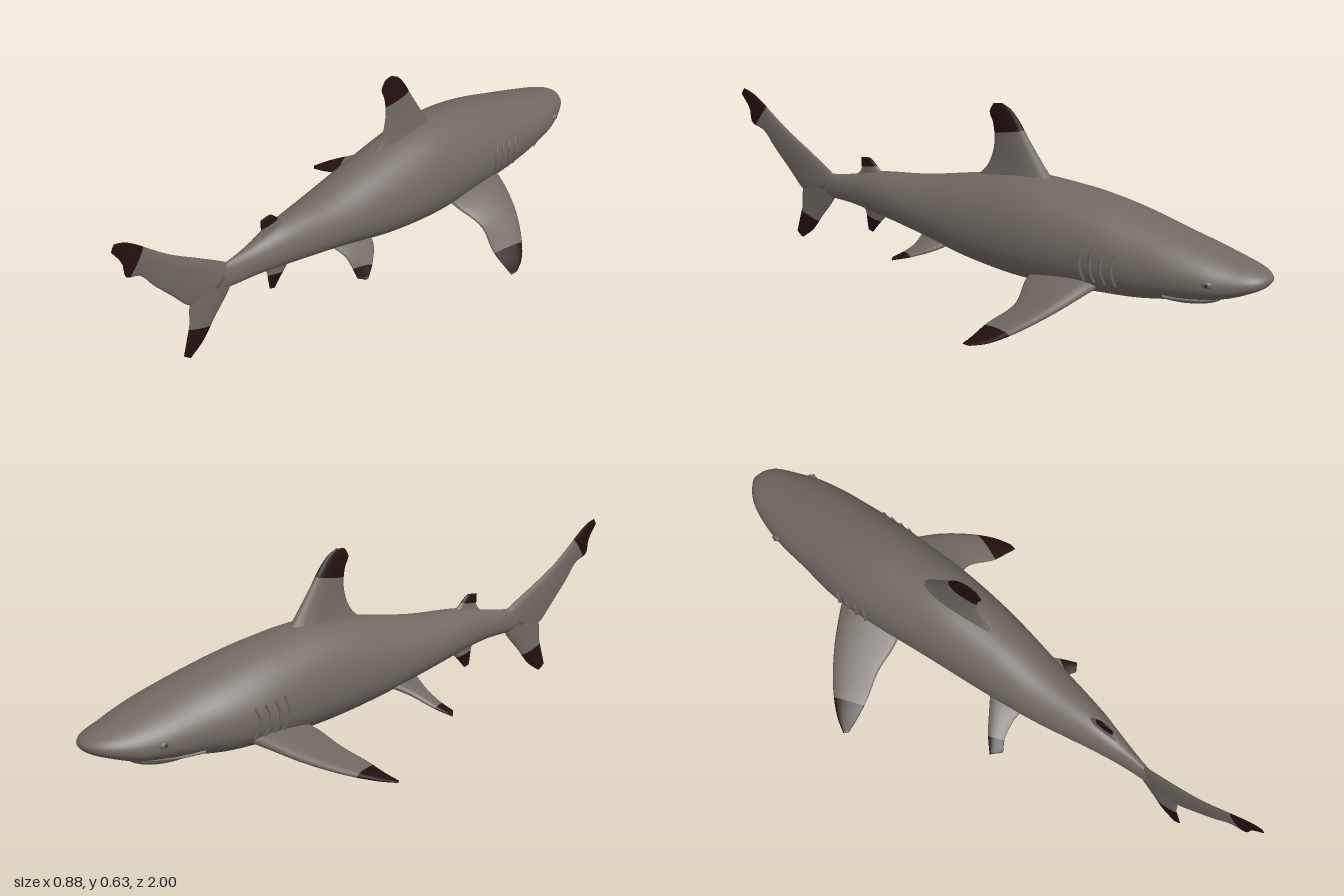
import * as THREE from 'three';

const mat = (name, color) => {
  const m = new THREE.MeshStandardMaterial({ color });
  m.name = name;
  return m;
};

// Body stations: z, centre x, half width, top y, bottom y
const BODY = [
  [-1, 0.176, 0.012, 0.252, 0.238],
  [-0.985, 0.174, 0.044, 0.263, 0.222],
  [-0.95, 0.168, 0.078, 0.276, 0.203],
  [-0.88, 0.154, 0.11, 0.295, 0.173],
  [-0.8, 0.142, 0.133, 0.318, 0.155],
  [-0.7, 0.124, 0.148, 0.346, 0.135],
  [-0.6, 0.1, 0.16, 0.372, 0.115],
  [-0.5, 0.08, 0.165, 0.394, 0.105],
  [-0.4, 0.0625, 0.162, 0.41, 0.098],
  [-0.2, 0.03, 0.15, 0.422, 0.092],
  [0, -0.012, 0.132, 0.388, 0.112],
  [0.2, -0.0625, 0.102, 0.344, 0.15],
  [0.4, -0.108, 0.062, 0.318, 0.178],
  [0.5, -0.134, 0.038, 0.29, 0.187],
  [0.6, -0.163, 0.018, 0.27, 0.187],
  [0.68, -0.186, 0.008, 0.262, 0.2],
  [0.8, -0.215, 0.004, 0.25, 0.21],
  [1, -0.25, 0.003, 0.25, 0.22],
];

// Smooth interpolation of one station column at z
function station(z, col) {
  const n = BODY.length;
  let i = 0;
  while (i < n - 2 && z > BODY[i + 1][0]) i++;
  const slope = (k) => {
    const a = BODY[Math.max(0, k - 1)], b = BODY[Math.min(n - 1, k + 1)];
    return (b[col] - a[col]) / (b[0] - a[0]);
  };
  const a = BODY[i], b = BODY[i + 1], h = b[0] - a[0];
  const t = (z - a[0]) / h, t2 = t * t, t3 = t2 * t;
  return (2 * t3 - 3 * t2 + 1) * a[col] + (t3 - 2 * t2 + t) * h * slope(i)
    + (3 * t2 - 2 * t3) * b[col] + (t3 - t2) * h * slope(i + 1);
}

// Point on the body skin; angle runs from +x towards +y
function skinPoint(z, angle) {
  const top = station(z, 3), bottom = station(z, 4);
  const waist = bottom + (top - bottom) * 0.45;
  const s = Math.sin(angle);
  const y = s > 0 ? waist + (top - waist) * s : waist - (waist - bottom) * Math.pow(-s, 0.85);
  return new THREE.Vector3(station(z, 1) + station(z, 2) * Math.cos(angle), y, z);
}

// Skin over closed rings, capped at both ends; rows from tipRow on take material 1
function loft(rings, tipRow = Infinity) {
  const n = rings[0].length, rows = rings.length;
  const pos = [], idx = [];
  const push = (p) => pos.push(p.x, p.y, p.z);
  rings.flat().forEach(push);
  for (const r of [rings[0], rings[rows - 1]])
    push(r.reduce((s, p) => s.add(p), new THREE.Vector3()).divideScalar(n));
  const first = rows * n, last = first + 1;
  for (let j = 0; j < n; j++) idx.push(first, (j + 1) % n, j);
  let split = 0;
  for (let i = 0; i < rows - 1; i++) {
    if (i === tipRow) split = idx.length;
    for (let j = 0; j < n; j++) {
      const a = i * n + j, b = i * n + (j + 1) % n;
      idx.push(a, b, a + n, b, b + n, a + n);
    }
  }
  const e = (rows - 1) * n;
  for (let j = 0; j < n; j++) idx.push(last, e + j, e + (j + 1) % n);
  const g = new THREE.BufferGeometry();
  g.setAttribute('position', new THREE.Float32BufferAttribute(pos, 3));
  g.setIndex(idx);
  if (split) {
    g.addGroup(0, split, 0);
    g.addGroup(split, idx.length - split, 1);
  }
  g.computeVertexNormals();
  return g;
}

// Fin from sections [leading point, trailing point, thickness], root to tip
function finGeometry(sections, tipFrom) {
  const rows = 24, half = 8;
  const lead = new THREE.CatmullRomCurve3(sections.map((s) => new THREE.Vector3(...s[0])));
  const trail = new THREE.CatmullRomCurve3(sections.map((s) => new THREE.Vector3(...s[1])));
  const thick = new THREE.CatmullRomCurve3(sections.map((s) => new THREE.Vector3(s[2], 0, 0)));
  const mid = (t) => lead.getPoint(t).add(trail.getPoint(t)).multiplyScalar(0.5);
  const rings = [];
  for (let i = 0; i <= rows; i++) {
    const t = i / rows, a = lead.getPoint(t), b = trail.getPoint(t);
    const span = mid(Math.min(1, t + 0.05)).sub(mid(Math.max(0, t - 0.05)));
    const normal = b.clone().sub(a).cross(span).normalize();
    const w = thick.getPoint(t).x / 2;
    const ring = [];
    for (let k = 0; k < half * 2; k++) {
      const ang = (k / half) * Math.PI;
      const c = (1 - Math.cos(ang)) / 2;
      // blunt leading edge, thin trailing edge
      const h = Math.sin(ang) * (1.25 - 0.75 * c) * w;
      ring.push(a.clone().lerp(b, c).addScaledVector(normal, h));
    }
    rings.push(ring);
  }
  return loft(rings, Math.round(tipFrom * rows));
}

export function createModel() {
  const skin = mat('grey skin', 0x716963);
  const dark = mat('dark fin tip', 0x241010);
  const shark = new THREE.Group();
  shark.name = 'shark';
  const add = (name, geometry, material = skin) => {
    const m = new THREE.Mesh(geometry, material);
    m.name = name;
    shark.add(m);
    return m;
  };

  // Body
  const rings = [];
  for (let i = 0; i <= 72; i++) {
    const z = -1 + 1.68 * Math.pow(i / 72, 1.5);
    rings.push(Array.from({ length: 40 }, (_, j) => skinPoint(z, (j / 40) * Math.PI * 2)));
  }
  add('body', loft(rings));

  // Lower jaw and lip
  const jaw = add('lowerJaw', new THREE.SphereGeometry(1, 28, 18));
  jaw.scale.set(0.085, 0.034, 0.14);
  jaw.position.set(station(-0.72, 1), 0.162, -0.72);
  jaw.rotation.y = -0.18;
  const strip = (name, points, r) =>
    add(name, new THREE.TubeGeometry(new THREE.CatmullRomCurve3(points), 24, r, 6));
  const lip = [];
  for (let t = -1; t <= 1.001; t += 0.2)
    lip.push(skinPoint(-0.865 + 0.17 * t * t, -Math.PI / 2 + 1.0 * t));
  strip('upperLip', lip, 0.007);

  // Eyes and gill slits on both sides
  for (const side of [1, -1]) {
    const word = side > 0 ? 'left' : 'right';
    const at = (z, a) => skinPoint(z, side > 0 ? a : Math.PI - a);
    const eye = add(word + 'Eye', new THREE.SphereGeometry(0.014, 16, 12));
    eye.position.copy(at(-0.83, 0.1));
    eye.scale.set(0.6, 0.8, 1.2);
    const pupil = add(word + 'Pupil', new THREE.SphereGeometry(0.005, 10, 8), dark);
    pupil.position.copy(eye.position).x += side * 0.006;
    for (let k = 0; k < 4; k++) {
      const z = -0.55 + k * 0.035;
      strip(word + 'GillSlit', [-0.4, -0.15, 0.1, 0.3].map(
        (a, i) => at(z + 0.012 * Math.sin(i), a)), 0.006);
    }
  }

  // Fins along the midline, given as z, y
  const p = (z, y) => [station(z, 1), y, z];
  const midFin = (name, tipFrom, rows) => add(name, finGeometry(
    rows.map(([z1, y1, z2, y2, w]) => [p(z1, y1), p(z2, y2), w]), tipFrom), [skin, dark]);
  midFin('dorsalFin', 0.52, [
    [-0.31, 0.38, 0.03, 0.355, 0.075], [-0.26, 0.44, -0.045, 0.425, 0.052],
    [-0.2, 0.525, -0.07, 0.5, 0.034], [-0.158, 0.588, -0.065, 0.565, 0.022],
    [-0.13, 0.618, -0.052, 0.6, 0.013], [-0.1, 0.633, -0.066, 0.628, 0.005]]);
  midFin('secondDorsalFin', 0.5, [
    [0.35, 0.3, 0.5, 0.28, 0.03], [0.385, 0.325, 0.465, 0.315, 0.02],
    [0.41, 0.35, 0.465, 0.335, 0.013], [0.425, 0.362, 0.465, 0.357, 0.005]]);
  midFin('analFin', 0.5, [
    [0.33, 0.2, 0.48, 0.2, 0.03], [0.365, 0.165, 0.45, 0.17, 0.02],
    [0.4, 0.125, 0.445, 0.14, 0.012], [0.42, 0.1, 0.44, 0.105, 0.005]]);
  midFin('upperTailLobe', 0.66, [
    [0.57, 0.255, 0.7, 0.17, 0.03], [0.62, 0.288, 0.745, 0.195, 0.026],
    [0.7, 0.335, 0.79, 0.245, 0.022], [0.79, 0.388, 0.86, 0.32, 0.017],
    [0.86, 0.44, 0.905, 0.375, 0.014], [0.9, 0.472, 0.955, 0.395, 0.011],
    [0.95, 0.505, 0.965, 0.445, 0.008], [0.985, 0.516, 0.998, 0.495, 0.004]]);
  midFin('lowerTailLobe', 0.58, [
    [0.57, 0.22, 0.72, 0.235, 0.028], [0.595, 0.175, 0.738, 0.18, 0.024],
    [0.65, 0.105, 0.742, 0.125, 0.017], [0.695, 0.045, 0.757, 0.07, 0.012],
    [0.745, 0.006, 0.77, 0.025, 0.005]]);

  // Paired fins, posed separately for the turning body
  const pairFin = (name, tipFrom, sections) => add(name, finGeometry(sections, tipFrom), [skin, dark]);
  pairFin('rightPectoralFin', 0.68, [
    [[0, 0.175, -0.56], [0, 0.16, -0.33], 0.06], [[-0.1, 0.155, -0.535], [-0.11, 0.138, -0.322], 0.045],
    [[-0.205, 0.13, -0.5], [-0.21, 0.118, -0.333], 0.034], [[-0.32, 0.105, -0.445], [-0.305, 0.096, -0.325], 0.024],
    [[-0.4, 0.088, -0.388], [-0.375, 0.08, -0.326], 0.014], [[-0.439, 0.077, -0.345], [-0.43, 0.075, -0.33], 0.005]]);
  pairFin('leftPectoralFin', 0.62, [
    [[0.14, 0.18, -0.53], [0.1, 0.16, -0.26], 0.06], [[0.235, 0.148, -0.47], [0.18, 0.13, -0.245], 0.045],
    [[0.33, 0.098, -0.385], [0.27, 0.085, -0.245], 0.034], [[0.4, 0.046, -0.29], [0.345, 0.042, -0.185], 0.024],
    [[0.432, 0.017, -0.22], [0.4, 0.016, -0.158], 0.013], [[0.44, 0.005, -0.17], [0.432, 0.004, -0.142], 0.005]]);
  pairFin('rightPelvicFin', 0.72, [
    [[-0.08, 0.165, 0.02], [-0.09, 0.16, 0.17], 0.035], [[-0.165, 0.14, 0.055], [-0.165, 0.128, 0.145], 0.024],
    [[-0.235, 0.105, 0.085], [-0.225, 0.1, 0.142], 0.016], [[-0.29, 0.077, 0.118], [-0.265, 0.078, 0.155], 0.006]]);
  pairFin('leftPelvicFin', 0.72, [
    [[-0.01, 0.165, 0.05], [-0.05, 0.155, 0.2], 0.035], [[0.055, 0.142, 0.1], [0.015, 0.13, 0.205], 0.024],
    [[0.095, 0.118, 0.175], [0.05, 0.113, 0.225], 0.016], [[0.116, 0.102, 0.24], [0.085, 0.1, 0.252], 0.006]]);

  return shark;
}
